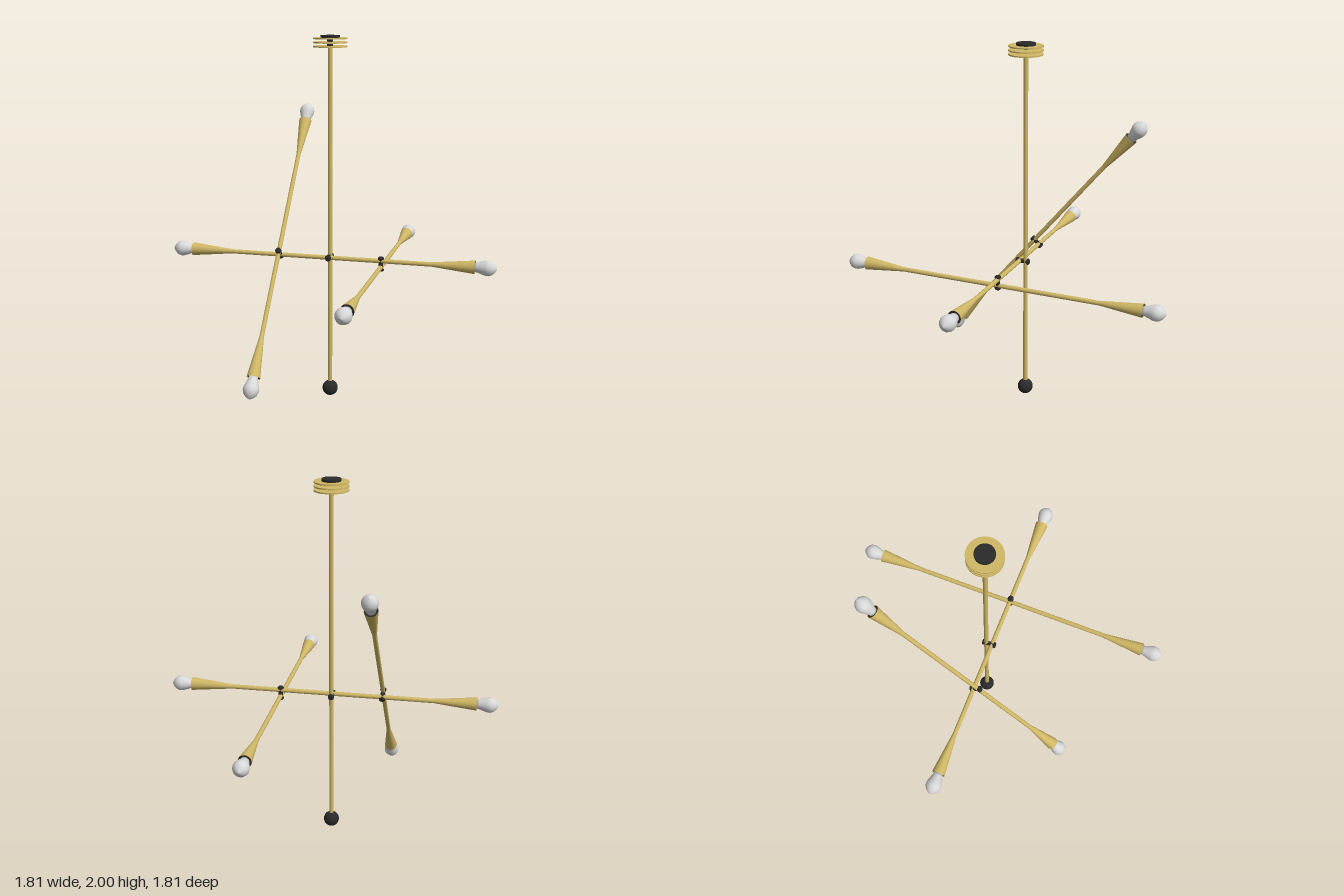
import * as THREE from 'three';

const material = (name, color) => {
  const m = new THREE.MeshStandardMaterial({ color });
  m.name = name;
  return m;
};

export function createModel() {
  const brass = material('brass', 0xcfb765);
  const black = material('black', 0x2a2a2a);
  const glass = material('bulb white', 0xd8d8d8);
  const shell = material('brass shell', 0xcfb765);
  shell.side = THREE.DoubleSide;

  const root = new THREE.Group();
  root.name = 'chandelier';

  const add = (parent, name, geometry, mat, x = 0, y = 0, z = 0) => {
    const mesh = new THREE.Mesh(geometry, mat);
    mesh.name = name;
    mesh.position.set(x, y, z);
    parent.add(mesh);
    return mesh;
  };
  const up = new THREE.Vector3(0, 1, 0);
  const lathe = (points, segments = 24) =>
    new THREE.LatheGeometry(points.map(([r, y]) => new THREE.Vector2(r, y)), segments);

  const ROD = 0.012;
  const PX = -0.005, PZ = -0.034, ARM_Y = 0.81, GAP = 0.034;

  // Central pole with its ball finial and ceiling canopy
  add(root, 'pole', new THREE.CylinderGeometry(ROD, ROD, 1.91, 16), brass, PX, 1.025, PZ);
  add(root, 'ballFinial', new THREE.SphereGeometry(0.043, 24, 16), black, PX, 0.043, PZ);
  for (const y of [1.942, 1.963, 1.984]) {
    add(root, 'canopyDisc', new THREE.CylinderGeometry(0.09, 0.09, 0.007, 40), brass, PX, y, PZ);
  }
  add(root, 'canopyCore', new THREE.CylinderGeometry(0.016, 0.016, 0.04, 16), black, PX, 1.963, PZ);
  add(root, 'ceilingPlate', new THREE.CylinderGeometry(0.05, 0.05, 0.015, 32), black, PX, 1.9925, PZ);

  // Shared arm pieces, modelled along +y
  const rodGeo = new THREE.CylinderGeometry(ROD, ROD, 1.13, 16);
  const coneGeo = new THREE.CylinderGeometry(0.036, ROD, 0.23, 24, 1, true);
  const socketGeo = new THREE.CylinderGeometry(0.034, 0.034, 0.006, 24);
  const bulbGeo = lathe([
    [0, 0.785], [0.024, 0.785], [0.026, 0.8], [0.034, 0.822], [0.041, 0.845],
    [0.042, 0.86], [0.037, 0.877], [0.024, 0.892], [0.009, 0.902], [0, 0.905],
  ]);

  // A straight arm with a flared holder and bulb at both ends
  const addArm = (name, position, direction) => {
    const arm = new THREE.Group();
    arm.name = name;
    add(arm, 'rod', rodGeo, brass);
    for (const flip of [0, Math.PI]) {
      const end = new THREE.Group();
      end.name = 'lampEnd';
      end.rotation.x = flip;
      add(end, 'flaredHolder', coneGeo, shell, 0, 0.675, 0);
      add(end, 'socket', socketGeo, black, 0, 0.782, 0);
      add(end, 'bulb', bulbGeo, glass);
      arm.add(end);
    }
    arm.position.copy(position);
    arm.quaternion.setFromUnitVectors(up, direction.clone().normalize());
    root.add(arm);
  };
  addArm('crossArm', new THREE.Vector3(0, ARM_Y, 0), new THREE.Vector3(1, 0, 0));
  addArm('levelArm', new THREE.Vector3(0.285, ARM_Y - GAP, 0), new THREE.Vector3(0, 0, 1));
  addArm('tiltedArm', new THREE.Vector3(-0.28, 0.8825, -0.016), new THREE.Vector3(0, 0.766, -0.642));

  // Black joints: a waisted pin with a knob beyond each of the two rods
  const jointGeo = lathe([
    [0, -0.023], [0.012, -0.022], [0.017, -0.017], [0.017, -0.01], [0.012, -0.006],
    [0.012, GAP + 0.006], [0.017, GAP + 0.01], [0.017, GAP + 0.017],
    [0.012, GAP + 0.022], [0, GAP + 0.023],
  ], 16);
  const joints = [
    ['poleJoint', PX, [0, 0, -1]],
    ['levelArmJoint', 0.285, [0, -1, 0]],
    ['tiltedArmJoint', -0.28, [0, 0.642, 0.766]],
  ];
  for (const [name, x, axis] of joints) {
    const joint = add(root, name, jointGeo, black, x, ARM_Y, 0);
    joint.quaternion.setFromUnitVectors(up, new THREE.Vector3(...axis).normalize());
  }

  return root;
}
